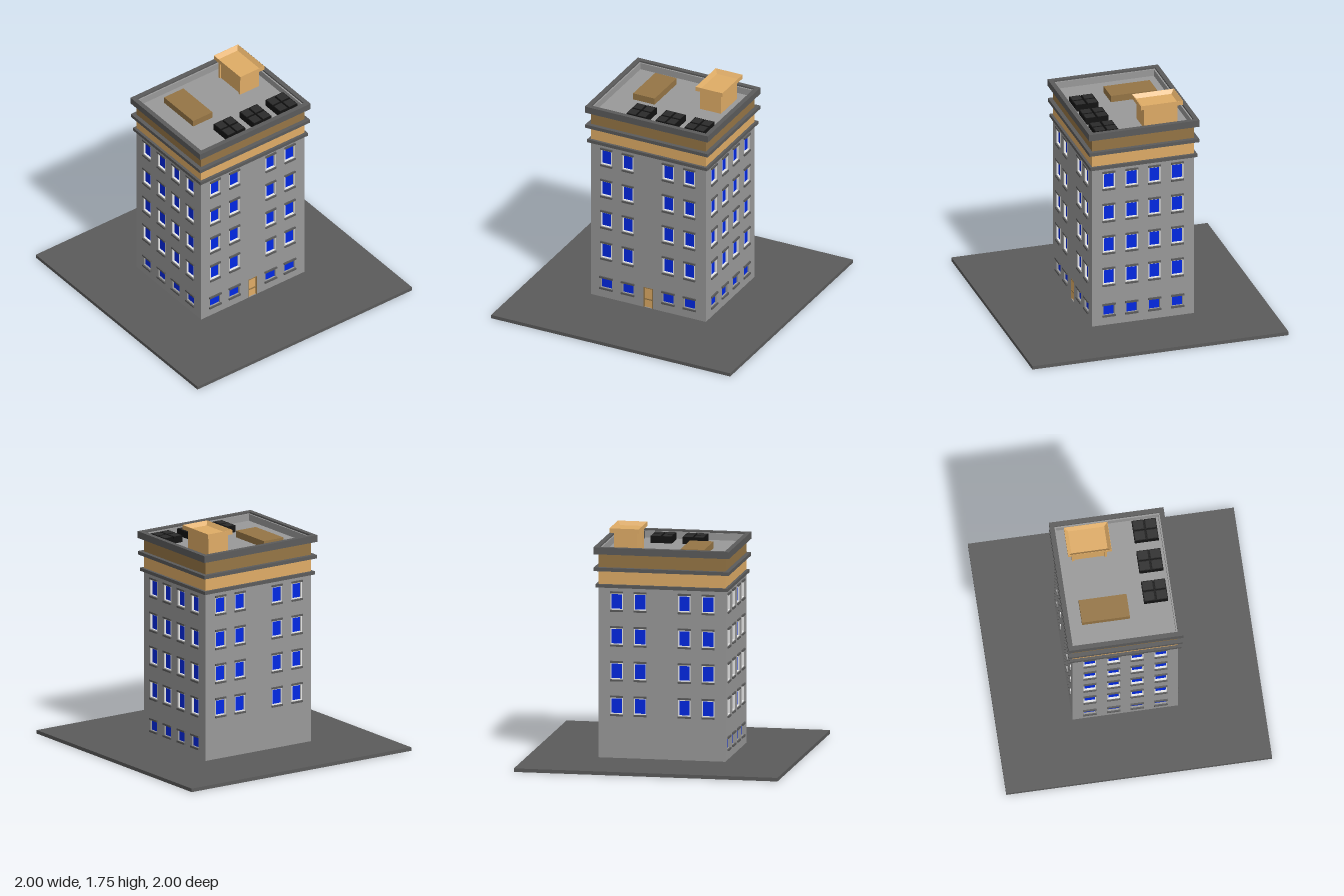
import * as THREE from 'three';

const mat = (name, color) => Object.assign(new THREE.MeshStandardMaterial({ color }), { name });

export function createModel() {
  const model = new THREE.Group();
  model.name = 'apartmentBlock';
  const darkGrey = mat('darkGrey', 0x5b5b5b), grey = mat('wallGrey', 0x999999);
  const tan = mat('tan', 0xdfac66), brown = mat('brown', 0x957545);
  const blue = mat('windowBlue', 0x0028e4), white = mat('frameWhite', 0xffffff);
  const black = mat('black', 0x121212), charcoal = mat('charcoal', 0x2b2b2b);

  // Box given by its limits on each axis
  const box = (name, m, x0, x1, y0, y1, z0, z1, parent = model) => {
    const mesh = new THREE.Mesh(new THREE.BoxGeometry(x1 - x0, y1 - y0, z1 - z0), m);
    mesh.position.set((x0 + x1) / 2, (y0 + y1) / 2, (z0 + z1) / 2);
    mesh.name = name;
    parent.add(mesh);
  };
  // Rectangle outline for shapes and holes
  const rect = (Type, x0, x1, y0, y1) =>
    new Type([[x0, y0], [x1, y0], [x1, y1], [x0, y1]].map(p => new THREE.Vector2(...p)));

  const CX = -0.031, CZ = 0.0095, HX = 0.398, HZ = 0.481;
  const FLOOR = 0.027, EAVES = 1.315, ROOF = 1.555, DEEP = 0.018;
  // Storey slab, grown outwards by a margin
  const slab = (name, m, y0, y1, grow = 0) =>
    box(name, m, CX - HX - grow, CX + HX + grow, y0, y1, CZ - HZ - grow, CZ + HZ + grow);
  // Rectangular ring around the roof
  const ring = (name, m, y0, y1, outer, inner) => {
    const outline = (Type, g) => rect(Type, -HX - g, HX + g, -HZ - g, HZ + g);
    const shape = outline(THREE.Shape, outer);
    shape.holes.push(outline(THREE.Path, inner));
    const geo = new THREE.ExtrudeGeometry(shape, { depth: y1 - y0, bevelEnabled: false });
    geo.rotateX(-Math.PI / 2);
    const mesh = new THREE.Mesh(geo, m);
    mesh.position.set(CX, y0, CZ);
    mesh.name = name;
    model.add(mesh);
  };

  // Ground, core, cornices and parapet
  box('ground', darkGrey, -1, 1, 0, FLOOR, -1, 1);
  slab('core', grey, FLOOR, EAVES, -DEEP);
  slab('lowerCornice', darkGrey, EAVES, 1.34, 0.02);
  slab('tanBand', tan, 1.34, 1.44);
  slab('middleCornice', darkGrey, 1.44, 1.467, 0.031);
  slab('brownBand', brown, 1.467, ROOF - 0.003);
  slab('roof', grey, ROOF - 0.003, ROOF, -0.004);
  ring('brownParapet', brown, ROOF - 0.003, 1.568, 0, -0.01);
  ring('topCornice', darkGrey, 1.568, 1.62, 0.033, -0.003);
  ring('parapetLining', grey, ROOF, 1.607, -0.003, -0.014);

  // Recessed window in a wall whose face is z = 0
  const RIM = 0.007;
  const addWindow = (parent, { x, y, w, h, framed }) => {
    const g = new THREE.Group();
    g.name = 'window';
    g.position.set(x, y, 0);
    parent.add(g);
    const a = w / 2, b = h / 2, t = RIM;
    box('glass', blue, -a, a, -b, b, -DEEP, -DEEP + 0.004, g);
    for (const s of [-1, 1]) {
      if (framed) {
        const u = s * (a + t / 2), v = s * (b + t / 2);
        box('frameSide', white, u - t / 2, u + t / 2, -b - t, b + t, -DEEP, 0.001, g);
        box('frameRail', white, -a, a, v - t / 2, v + t / 2, -DEEP, 0.001, g);
      }
      const e = s * (b + (framed ? RIM + 0.007 : 0.007));
      box(s > 0 ? 'lintel' : 'sill', darkGrey, -a - 0.009, a + 0.009, e - 0.007, e + 0.007, 0, 0.011, g);
    }
  };

  // Facades: each is a pierced wall built facing +z and then turned
  const endCols = [-0.298, -0.119, 0.058, 0.236].map(v => v - CX);
  const sideCols = [0.36, 0.18, -0.157, -0.335].map(v => CZ - v);
  const DOOR = { x0: -0.038, x1: 0.038, y1: 0.195 };
  const facade = (name, cols, angle, dist, half, groundW, hasDoor) => {
    const g = new THREE.Group();
    g.name = name;
    g.position.set(CX + Math.sin(angle) * dist, 0, CZ + Math.cos(angle) * dist);
    g.rotation.y = angle;
    model.add(g);
    const windows = [];
    for (const x of cols) {
      for (let i = 0; i < 4; i++) windows.push({ x, y: 0.421 + i * 0.263, w: 0.08, h: 0.112, framed: true });
      if (groundW) windows.push({ x, y: 0.147, w: groundW, h: 0.08, framed: false });
    }
    const wall = rect(THREE.Shape, -half, half, FLOOR, EAVES);
    for (const { x, y, w, h, framed } of windows) {
      const a = w / 2 + (framed ? RIM : 0), b = h / 2 + (framed ? RIM : 0);
      wall.holes.push(rect(THREE.Path, x - a, x + a, y - b, y + b));
    }
    if (hasDoor) wall.holes.push(rect(THREE.Path, DOOR.x0, DOOR.x1, FLOOR + 0.001, DOOR.y1));
    const mesh = new THREE.Mesh(new THREE.ExtrudeGeometry(wall, { depth: DEEP, bevelEnabled: false }), grey);
    mesh.position.z = -DEEP;
    mesh.name = 'wall';
    g.add(mesh);
    for (const w of windows) addWindow(g, w);
    return g;
  };
  facade('frontFacade', endCols, 0, HZ, HX, 0.084, false);
  facade('backFacade', endCols.map(v => -v), Math.PI, HZ, HX, 0.084, false);
  const leftSide = facade('leftFacade', sideCols, Math.PI / 2, HX, HZ - DEEP, 0.092, true);
  facade('rightFacade', sideCols.map(v => -v), -Math.PI / 2, HX, HZ - DEEP, 0, false);

  // Recessed entrance door
  box('door', tan, DOOR.x0, DOOR.x1, FLOOR, DOOR.y1, -DEEP, -0.008, leftSide);
  for (const x of [DOOR.x0, DOOR.x1 - 0.005])
    box('doorPost', brown, x, x + 0.005, FLOOR, DOOR.y1, -DEEP, 0.001, leftSide);
  box('doorHead', brown, DOOR.x0, DOOR.x1, DOOR.y1 - 0.006, DOOR.y1, -DEEP, 0.002, leftSide);
  box('doorRail', brown, DOOR.x0, DOOR.x1, 0.091, 0.1, -DEEP, -0.003, leftSide);

  // Stair house with a recessed front panel
  box('stairHouse', tan, -0.332, -0.067, ROOF, 1.72, -0.375, -0.21);
  for (const [x0, x1] of [[-0.332, -0.314], [-0.085, -0.067]])
    box('stairHouseJamb', tan, x0, x1, ROOF, 1.72, -0.21, -0.2);
  box('stairHouseHead', tan, -0.314, -0.085, 1.703, 1.72, -0.21, -0.2);

  // Dished cap, lofted through rectangles [halfX, y, halfZ]
  const loops = [[0.13, 1.717, 0.08], [0.164, 1.717, 0.112], [0.164, 1.75, 0.112], [0.162, 1.75, 0.11],
    [0.136, 1.721, 0.088], [0, 1.721, 0]];
  const pos = [], idx = [];
  for (const [a, y, b] of loops)
    for (const [sx, sz] of [[-1, 1], [1, 1], [1, -1], [-1, -1]]) pos.push(sx * a, y, sz * b);
  for (let i = 0; i < loops.length - 1; i++)
    for (let j = 0; j < 4; j++) {
      const p = i * 4 + j, q = i * 4 + (j + 1) % 4;
      idx.push(p, q, q + 4, p, q + 4, p + 4);
    }
  const indexed = new THREE.BufferGeometry();
  indexed.setAttribute('position', new THREE.Float32BufferAttribute(pos, 3));
  indexed.setIndex(idx);
  const capGeo = indexed.toNonIndexed();
  capGeo.computeVertexNormals();
  const cap = new THREE.Mesh(capGeo, tan);
  cap.name = 'stairHouseCap';
  cap.position.set(-0.2, 0, -0.291);
  model.add(cap);

  // Roof box and three cooling units with four cells each
  box('roofBox', brown, -0.33, 0.03, ROOF, 1.606, 0.13, 0.31);
  for (const z of [-0.354, -0.112, 0.131]) {
    const unit = new THREE.Group();
    unit.name = 'coolingUnit';
    unit.position.set(0.241, ROOF, z);
    model.add(unit);
    box('unitBody', black, -0.09, 0.09, 0, 0.04, -0.081, 0.081, unit);
    for (const sx of [-1, 1])
      for (const sz of [-1, 1]) {
        const x = sx * 0.0465, y = sz * 0.042;
        box('unitCell', black, x - 0.0435, x + 0.0435, 0.04, 0.052, y - 0.039, y + 0.039, unit);
        box('unitLid', charcoal, x - 0.037, x + 0.037, 0.052, 0.054, y - 0.033, y + 0.033, unit);
      }
  }
  return model;
}
